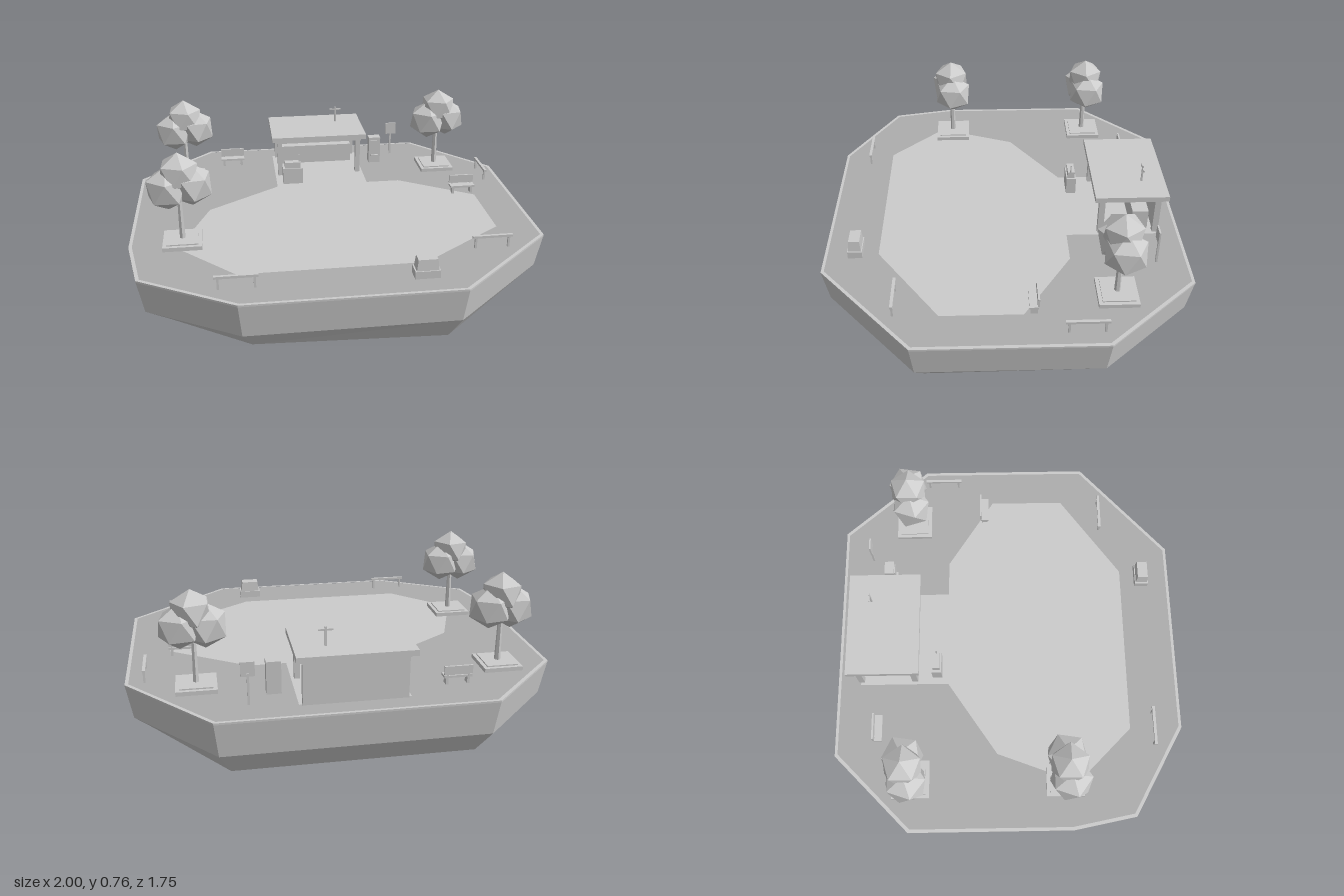
import * as THREE from 'three';

const grey = new THREE.MeshStandardMaterial({ color: 0xcccccc, flatShading: true });
const lawnGrey = new THREE.MeshStandardMaterial({ color: 0xadadad, flatShading: true });
const G = 0.295; // ground level

function add(parent, name, geometry, x = 0, y = 0, z = 0, material = grey) {
  const mesh = new THREE.Mesh(geometry, material);
  mesh.name = name;
  mesh.position.set(x, y, z);
  parent.add(mesh);
  return mesh;
}

// Box given by its extents; taper shrinks the top face
function block(parent, name, [x0, x1], [y0, y1], [z0, z1], taper = 1) {
  const g = new THREE.BoxGeometry(x1 - x0, y1 - y0, z1 - z0);
  const p = g.attributes.position;
  for (let i = 0; i < p.count; i++) {
    if (p.getY(i) > 0) p.setXYZ(i, p.getX(i) * taper, p.getY(i), p.getZ(i) * taper);
  }
  return add(parent, name, g, (x0 + x1) / 2, (y0 + y1) / 2, (z0 + z1) / 2);
}

function group(parent, name, x = 0, y = 0, z = 0) {
  const g = new THREE.Group();
  g.name = name;
  g.position.set(x, y, z);
  parent.add(g);
  return g;
}

const outline = [[-0.62, -0.875], [0.62, -0.875], [1, -0.44], [1, 0.43], [0.5, 0.875],
  [-0.5, 0.875], [-0.94, 0.62], [-1, 0.31], [-1, -0.5]];
const plaza = [[-0.25, -0.76], [-0.25, -0.31], [-0.62, -0.06], [-0.77, 0.34], [-0.5, 0.615],
  [0.37, 0.615], [0.8, 0.31], [0.8, -0.07], [0.43, -0.31], [0.25, -0.31], [0.25, -0.76]];

const flat = (pts, s = 1) => pts.map(([x, z]) => new THREE.Vector2(x * s, -z * s));

// Rock body: three rings tapering down to an uneven underside
function rockGeometry() {
  const floor = [0.01, 0.01, 0.045, 0.025, 0, 0.03, 0.03, 0.02, 0.02];
  const shrink = [0.89, 0.89, 0.89, 0.89, 0.89, 0.89, 0.86, 0.84, 0.86];
  const rings = [
    outline.map(([x, z]) => [x, G, z]),
    outline.map(([x, z]) => [x * 0.972, 0.125, z * 0.972]),
    outline.map(([x, z], i) => [x * shrink[i], floor[i], z * shrink[i]]),
  ];
  const pos = [];
  const n = outline.length;
  for (let i = 0; i < n; i++) {
    const j = (i + 1) % n;
    for (let r = 0; r < 2; r++) {
      const [a, b, c, d] = [rings[r][i], rings[r][j], rings[r + 1][j], rings[r + 1][i]];
      pos.push(...a, ...b, ...c, ...a, ...c, ...d);
    }
    pos.push(0, 0.015, 0, ...rings[2][i], ...rings[2][j]);
  }
  const g = new THREE.BufferGeometry();
  g.setAttribute('position', new THREE.Float32BufferAttribute(pos, 3));
  g.computeVertexNormals();
  return g;
}

function addIsland(root) {
  const island = group(root, 'island');
  add(island, 'rockBody', rockGeometry());
  const lawn = new THREE.ShapeGeometry(new THREE.Shape(flat(outline))).rotateX(-Math.PI / 2);
  add(island, 'lawn', lawn, 0, G - 0.003, 0, lawnGrey);
  const paving = new THREE.ShapeGeometry(new THREE.Shape(flat(plaza))).rotateX(-Math.PI / 2);
  add(island, 'plaza', paving, 0, G, 0);
  const kerb = new THREE.Shape(flat(outline));
  kerb.holes.push(new THREE.Path(flat(outline, 0.984)));
  const kerbGeo = new THREE.ExtrudeGeometry(kerb, { depth: 0.009, bevelEnabled: false });
  add(island, 'kerb', kerbGeo.rotateX(-Math.PI / 2), 0, G - 0.006, 0);
}

// Tree in a square planter, with three faceted leaf clumps
function addTree(root, x, z) {
  const tree = group(root, 'tree', x, G, z);
  block(tree, 'planterBase', [-0.093, 0.093], [0, 0.02], [-0.093, 0.093]);
  block(tree, 'planterSoil', [-0.075, 0.075], [0.02, 0.026], [-0.075, 0.075]);
  add(tree, 'trunk', new THREE.CylinderGeometry(0.011, 0.015, 0.24, 6), 0, 0.14, 0);
  const clumps = [[-0.052, 0.29, 0.008, 0.108, 0.3], [0.06, 0.295, -0.008, 0.105, 1.1], [0.005, 0.362, 0, 0.1, 0.6]];
  for (const [cx, cy, cz, r, turn] of clumps) {
    const leaf = new THREE.IcosahedronGeometry(r, 0).rotateZ(0.5536).rotateY(turn);
    add(tree, 'leafClump', leaf, cx, cy, cz);
  }
}

// Bench facing the front
function addBench(root, x, z) {
  const bench = group(root, 'bench', x, G, z);
  block(bench, 'seat', [-0.066, 0.066], [0.034, 0.045], [-0.02, 0.022]);
  block(bench, 'backrest', [-0.066, 0.066], [0.05, 0.092], [-0.024, -0.015]);
  for (const s of [-0.05, 0.05]) {
    block(bench, 'leg', [s - 0.006, s + 0.006], [0, 0.034], [-0.016, 0.016]);
    block(bench, 'backSupport', [s - 0.004, s + 0.004], [0.04, 0.06], [-0.022, -0.015]);
  }
}

// Low hoop rail on two posts
function addRail(root, x, z, turn = 0) {
  const rail = group(root, 'railing', x, G, z);
  rail.rotation.y = turn;
  block(rail, 'topBar', [-0.097, 0.097], [0.053, 0.065], [-0.007, 0.007]);
  for (const s of [-0.08, 0.08]) {
    block(rail, 'railPost', [s - 0.005, s + 0.005], [0, 0.055], [-0.005, 0.005]);
  }
}

// Open shelter with back wall, counter and flat roof
function addShelter(root) {
  const s = group(root, 'shelter');
  block(s, 'roof', [-0.265, 0.265], [0.503, 0.53], [-0.8, -0.44]);
  block(s, 'roofFrame', [-0.24, 0.24], [0.49, 0.503], [-0.78, -0.455]);
  block(s, 'backWall', [-0.215, 0.215], [G, 0.49], [-0.77, -0.745]);
  block(s, 'counter', [-0.2, 0.205], [G, 0.4], [-0.72, -0.64]);
  for (const x of [-0.222, 0.222]) {
    for (const z of [-0.755, -0.48]) {
      block(s, 'post', [x - 0.013, x + 0.013], [G, 0.495], [z - 0.015, z + 0.015]);
    }
  }
  block(s, 'aerialMast', [0.117, 0.125], [0.53, 0.618], [-0.688, -0.68]);
  block(s, 'aerialBar', [0.088, 0.154], [0.6, 0.608], [-0.688, -0.681]);
}

function addFurniture(root) {
  // Console beside the shelter
  const c = group(root, 'console');
  block(c, 'consoleBase', [-0.215, -0.105], [G, 0.385], [-0.39, -0.34]);
  block(c, 'consoleTop', [-0.203, -0.117], [0.385, 0.418], [-0.383, -0.347]);
  block(c, 'consoleAerial', [-0.126, -0.12], [0.41, 0.46], [-0.365, -0.359]);
  // Upright kiosk
  const k = group(root, 'kiosk');
  block(k, 'kioskBody', [0.31, 0.377], [G, 0.45], [-0.638, -0.59]);
  block(k, 'kioskScreen', [0.319, 0.368], [0.385, 0.435], [-0.59, -0.585]);
  block(k, 'kioskShelf', [0.322, 0.365], [0.335, 0.345], [-0.59, -0.58]);
  // Storage chest
  const b = group(root, 'chest');
  block(b, 'chestBase', [0.283, 0.398], [G, 0.332], [0.69, 0.76]);
  block(b, 'chestLid', [0.29, 0.391], [0.332, 0.386], [0.695, 0.755], 0.88);
  // Sign on a pole
  const p = group(root, 'signpost');
  block(p, 'signPole', [0.457, 0.467], [G, 0.44], [-0.726, -0.716]);
  block(p, 'signPlate', [0.431, 0.493], [0.425, 0.492], [-0.718, -0.71]);
}

export function createModel() {
  const root = new THREE.Group();
  root.name = 'islandPark';
  addIsland(root);
  addShelter(root);
  addFurniture(root);
  for (const [x, z] of [[-0.745, 0.275], [-0.745, -0.49], [0.68, -0.5]]) addTree(root, x, z);
  for (const [x, z] of [[-0.488, -0.658], [0.74, -0.115]]) addBench(root, x, z);
  addRail(root, -0.5, 0.73);
  addRail(root, 0.71, 0.515);
  addRail(root, 0.912, -0.34, Math.PI / 2);
  return root;
}
